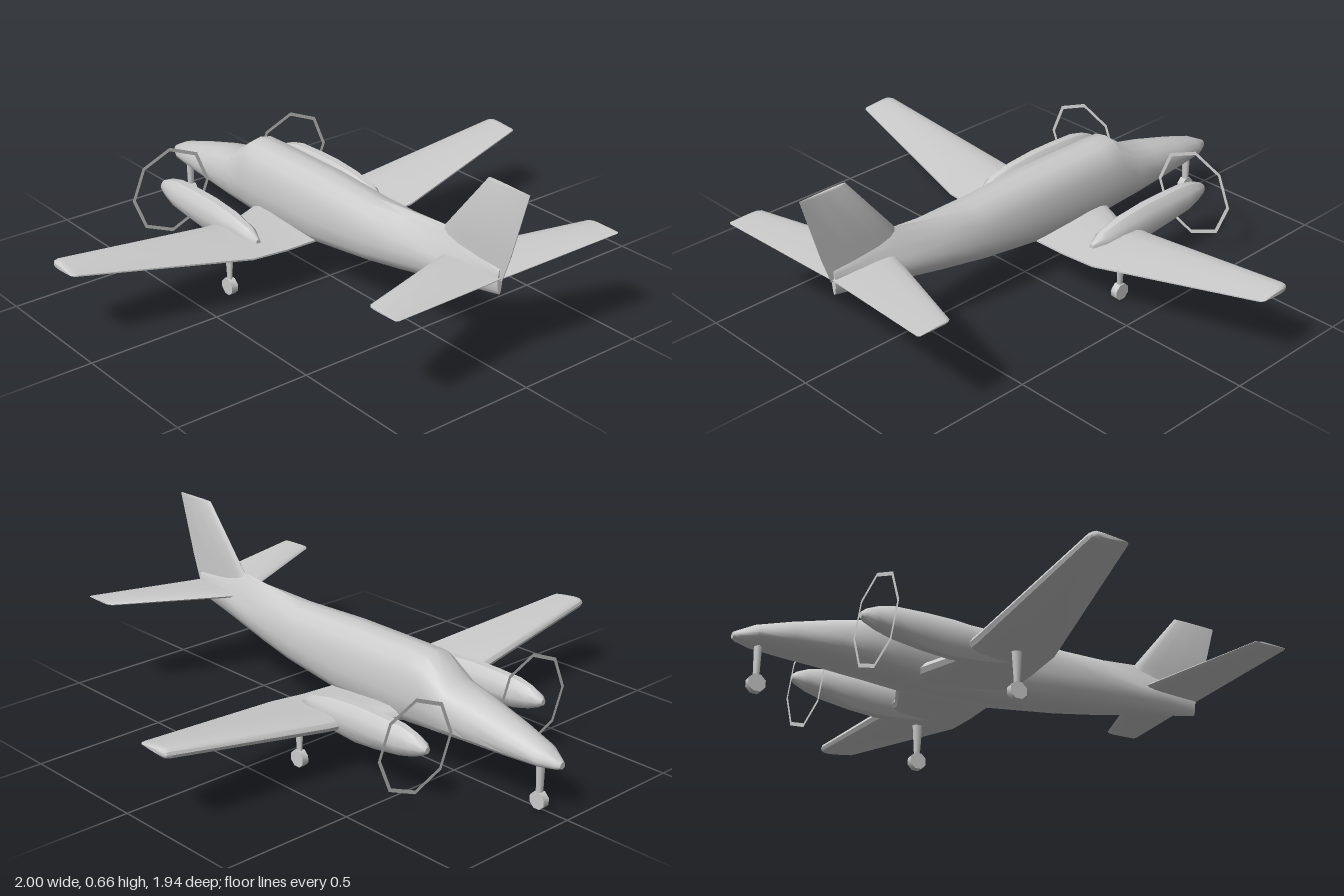
import * as THREE from 'three';
import { toCreasedNormals } from 'three/addons/utils/BufferGeometryUtils.js';

const grey = new THREE.MeshStandardMaterial({ color: 0xcccccc });
const thin = new THREE.MeshStandardMaterial({ color: 0xcccccc, side: THREE.DoubleSide });

// Skins a closed solid over a list of equal-length point rings, facing outward
function loft(name, rings, crease = 0.7) {
  const pos = [];
  const n = rings[0].length;
  const tri = (a, b, c) => pos.push(...a, ...b, ...c);
  for (let i = 0; i < rings.length - 1; i++) {
    for (let j = 0; j < n; j++) {
      const k = (j + 1) % n;
      const [a, b, c, d] = [rings[i][j], rings[i][k], rings[i + 1][k], rings[i + 1][j]];
      tri(a, b, c);
      tri(a, c, d);
    }
  }
  const mid = (r) => [0, 1, 2].map((q) => r.reduce((s, p) => s + p[q], 0) / n);
  const first = rings[0], last = rings[rings.length - 1];
  const m0 = mid(first), m1 = mid(last);
  for (let j = 0; j < n; j++) {
    const k = (j + 1) % n;
    tri(m0, first[k], first[j]);
    tri(m1, last[j], last[k]);
  }
  // Signed volume tells whether the corners run the wrong way round
  let volume = 0;
  const v = (i) => new THREE.Vector3().fromArray(pos, i);
  for (let i = 0; i < pos.length; i += 9) volume += v(i).dot(v(i + 3).cross(v(i + 6)));
  if (volume < 0) {
    for (let i = 0; i < pos.length; i += 9) {
      for (let q = 0; q < 3; q++) {
        [pos[i + 3 + q], pos[i + 6 + q]] = [pos[i + 6 + q], pos[i + 3 + q]];
      }
    }
  }
  const g = new THREE.BufferGeometry();
  g.setAttribute('position', new THREE.Float32BufferAttribute(pos, 3));
  const mesh = new THREE.Mesh(toCreasedNormals(g, crease), grey);
  mesh.name = name;
  return mesh;
}

// Body ring: z, bottom, top, half width, widest height, roundness of top and bottom
function bodyRing([z, y0, y1, w, ym, pTop = 2, pBot = 2], cx = 0, sides = 16) {
  return Array.from({ length: sides }, (_, i) => {
    const a = (i / sides) * Math.PI * 2;
    const c = Math.cos(a), s = Math.sin(a);
    const e = 2 / (s > 0 ? pTop : pBot);
    const x = Math.sign(c) * w * Math.abs(c) ** e;
    const y = ym + (s > 0 ? y1 - ym : y0 - ym) * Math.abs(s) ** e;
    return [cx + x, y, z];
  });
}

// Aerofoil outline as [chord fraction, thickness fraction]
const foil = [[0, 0], [0.03, 0.3], [0.12, 0.48], [0.3, 0.5], [0.65, 0.32], [1, 0.06],
  [1, -0.06], [0.65, -0.3], [0.3, -0.48], [0.12, -0.46], [0.03, -0.3]];
// Flying surface ring: span position, height, leading z, trailing z, thickness
const wingRing = (side, [x, y, le, te, t]) =>
  foil.map(([c, h]) => [side * x, y + h * t, le + c * (te - le)]);

export function createModel() {
  const plane = new THREE.Group();
  plane.name = 'aeroplane';

  // Fuselage, nose to tail
  const body = [
    [-0.97, 0.172, 0.195, 0.012, 0.182],
    [-0.955, 0.166, 0.203, 0.024, 0.182],
    [-0.9, 0.16, 0.232, 0.054, 0.19],
    [-0.78, 0.158, 0.27, 0.075, 0.205, 2, 2.4],
    [-0.62, 0.157, 0.313, 0.093, 0.22, 2.2, 2.8],
    [-0.51, 0.15, 0.335, 0.101, 0.235, 2.4, 3],
    [-0.41, 0.142, 0.41, 0.104, 0.25, 2.5, 3],
    [-0.33, 0.136, 0.412, 0.105, 0.25, 2.5, 3],
    [0, 0.147, 0.412, 0.104, 0.255, 2.5, 3],
    [0.27, 0.178, 0.402, 0.096, 0.275, 2.3, 2.6],
    [0.42, 0.2, 0.415, 0.08, 0.29, 1.7, 2.4],
    [0.6, 0.231, 0.43, 0.054, 0.305, 1.1, 2.2],
    [0.72, 0.252, 0.4, 0.034, 0.32, 1.2, 2],
    [0.86, 0.278, 0.37, 0.01, 0.33],
  ];
  plane.add(loft('fuselage', body.map((s) => bodyRing(s)), 0.6));

  // Tail fin, stacked upwards
  const fin = [[0.33, 0.56, 0.87, 0.024], [0.43, 0.6, 0.905, 0.022],
    [0.657, 0.785, 0.97, 0.016], [0.664, 0.79, 0.972, 0.01]];
  plane.add(loft('tailFin', fin.map(([y, le, te, t]) =>
    foil.map(([c, h]) => [h * t, y, le + c * (te - le)]))));

  // Wheel and tapered leg
  function gear(name, x, z, legTop, topWidth, legThick) {
    const g = new THREE.Group();
    g.name = name;
    const wheel = new THREE.Mesh(toCreasedNormals(
      new THREE.CylinderGeometry(0.032, 0.032, 0.026, 8).rotateY(Math.PI / 8).rotateZ(Math.PI / 2), 0.9), grey);
    wheel.name = 'wheel';
    wheel.position.y = 0.031;
    const h = legTop - 0.045;
    const leg = new THREE.Mesh(new THREE.CylinderGeometry(topWidth / 2, 0.011, h, 8), grey);
    leg.name = 'leg';
    leg.scale.x = legThick;
    leg.position.y = 0.045 + h / 2;
    g.add(wheel, leg);
    g.position.set(x, 0, z);
    plane.add(g);
  }
  gear('noseGear', 0, -0.88, 0.175, 0.028, 1.2);

  const wing = [
    [0, 0.172, -0.375, 0.022, 0.06],
    [0.1, 0.174, -0.33, 0.022, 0.058],
    [0.215, 0.178, -0.278, 0.026, 0.055],
    [0.36, 0.191, -0.268, 0.03, 0.052],
    [0.975, 0.279, -0.226, -0.086, 0.037],
    [0.992, 0.281, -0.22, -0.09, 0.03],
    [1, 0.282, -0.205, -0.1, 0.014],
  ];
  const tailplane = [
    [0, 0.336, 0.612, 0.866, 0.024],
    [0.06, 0.34, 0.634, 0.873, 0.022],
    [0.475, 0.371, 0.786, 0.919, 0.012],
    [0.485, 0.372, 0.8, 0.915, 0.006],
  ];
  const nacelle = [
    [-0.645, 0.203, 0.226, 0.01, 0.215],
    [-0.63, 0.193, 0.239, 0.022, 0.215],
    [-0.59, 0.176, 0.257, 0.033, 0.212],
    [-0.53, 0.16, 0.271, 0.044, 0.208],
    [-0.42, 0.143, 0.275, 0.045, 0.205],
    [-0.32, 0.134, 0.275, 0.045, 0.205],
    [-0.2, 0.142, 0.265, 0.043, 0.203],
    [-0.1, 0.163, 0.242, 0.031, 0.202],
    [-0.05, 0.188, 0.212, 0.009, 0.2],
  ];

  // Mirrored parts
  for (const [side, label] of [[1, 'PlusX'], [-1, 'MinusX']]) {
    plane.add(loft('wing' + label, wing.map((s) => wingRing(side, s))));
    plane.add(loft('tailplane' + label, tailplane.map((s) => wingRing(side, s))));
    plane.add(loft('engineNacelle' + label, nacelle.map((s) => bodyRing(s, side * 0.28, 10))));
    gear('mainGear' + label, side * 0.36, -0.115, 0.19, 0.042, 0.6);

    // Propeller sweep, a flat eight-sided hoop
    const hoop = new THREE.Mesh(new THREE.RingGeometry(0.156, 0.17, 8, 1), thin);
    hoop.name = 'propellerHoop' + label;
    hoop.position.set(side * 0.28, 0.21, -0.592);
    plane.add(hoop);
  }
  return plane;
}
